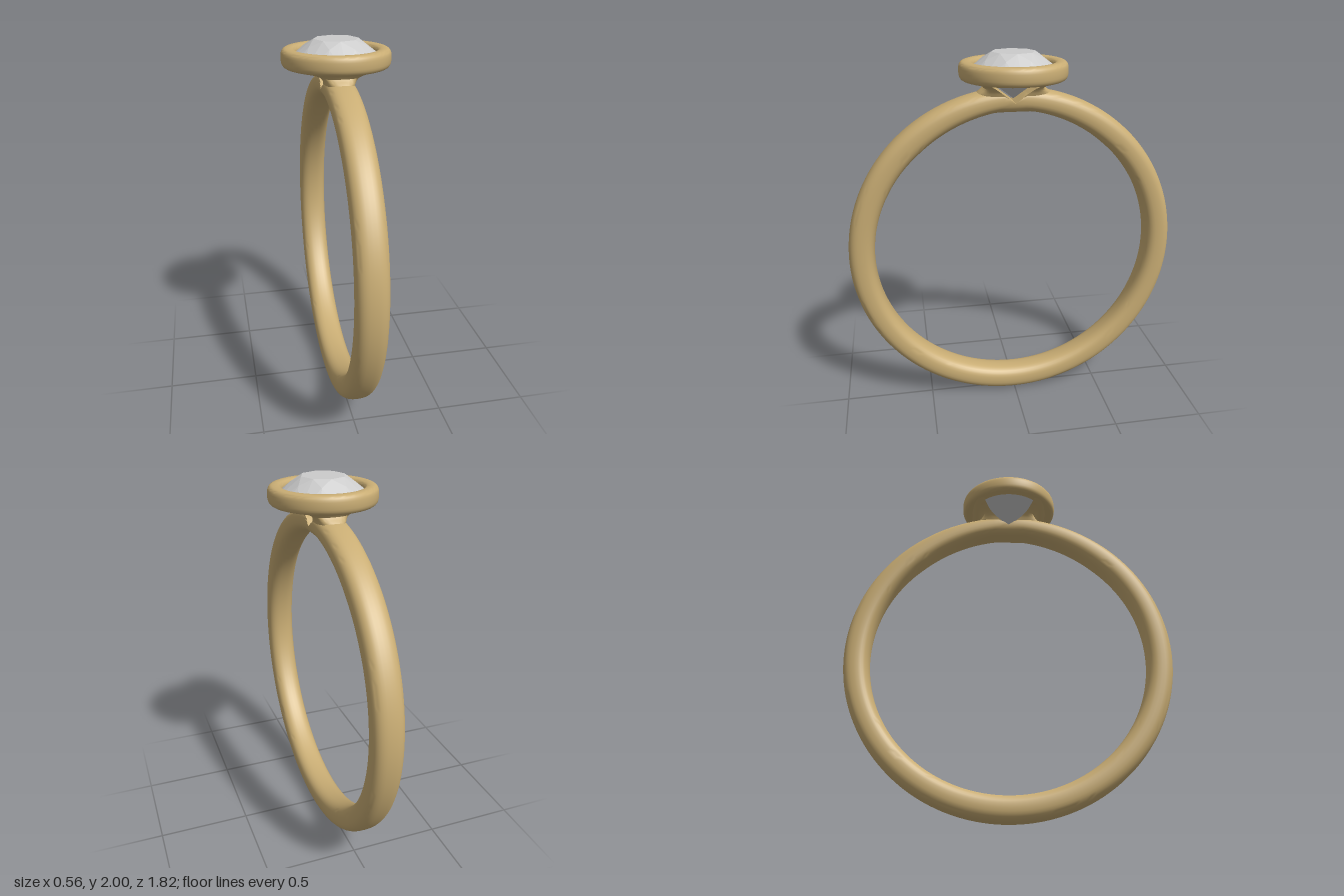
import * as THREE from 'three';
import { toCreasedNormals } from 'three/addons/utils/BufferGeometryUtils.js';
import { ConvexGeometry } from 'three/addons/geometries/ConvexGeometry.js';

const TAU = Math.PI * 2;

// Skin a list of equal-length closed cross-sections; optionally join last to first
function loft(rings, closed) {
  const n = rings[0].length;
  const count = closed ? rings.length : rings.length - 1;
  const index = [];
  for (let i = 0; i < count; i++) {
    const a = i * n, b = ((i + 1) % rings.length) * n;
    for (let j = 0; j < n; j++) {
      const k = (j + 1) % n;
      index.push(a + j, a + k, b + j, a + k, b + k, b + j);
    }
  }
  const geo = new THREE.BufferGeometry();
  geo.setAttribute('position', new THREE.Float32BufferAttribute(rings.flat(2), 3));
  geo.setIndex(index);
  return toCreasedNormals(geo, 0.7);
}

// Rounded-square-like section: point at angle a of a superellipse
const bulge = (v, p) => Math.sign(v) * Math.abs(v) ** (2 / p);
const rounded = (a, hw, hh, p) => [hw * bulge(Math.cos(a), p), hh * bulge(Math.sin(a), p)];

// V-shaped seat cut under the stone
const SEAT_Y = 1.748, SEAT_SLOPE = 0.76;

function bandGeometry() {
  const rings = [];
  const segs = 180, sides = 32;
  for (let i = 0; i < segs; i++) {
    const t = (i / segs) * TAU;
    const ring = [];
    for (let j = 0; j < sides; j++) {
      const [x, dr] = rounded((j / sides) * TAU, 0.08, 0.07, 2.6);
      const r = 0.84 + dr;
      const z = r * Math.sin(t);
      let y = 0.91 + r * Math.cos(t);
      if (Math.cos(t) > 0 && Math.abs(z) < 0.5) {
        // thin the inside toward a small flat below the stone, then cut the seat
        const inner = (0.07 - dr) / 0.14;
        y += 0.026 * inner * (1 - Math.abs(z) / 0.5);
        if (inner > 0.5) y = Math.min(y, 1.695 + (1 - inner) * 0.14);
        y = Math.min(y, SEAT_Y + SEAT_SLOPE * Math.abs(z));
      }
      ring.push([x, y, z]);
    }
    rings.push(ring);
  }
  return loft(rings, true);
}

function bezelGeometry() {
  const rings = [];
  for (let i = 0; i < 96; i++) {
    const t = (i / 96) * TAU;
    const ring = [];
    for (let j = 0; j < 28; j++) {
      const [dr, dy] = rounded((j / 28) * TAU, 0.0385, 0.048, 2.9);
      const r = 0.2425 + dr;
      ring.push([r * Math.cos(t), 1.908 + dy, r * Math.sin(t)]);
    }
    rings.push(ring);
  }
  return loft(rings, true);
}

// Flared shoulder: height, half width in x, outer reach in z
function shoulderGeometry() {
  const levels = [
    [1.765, 0.070, 0.20], [1.785, 0.076, 0.20], [1.80, 0.081, 0.190], [1.812, 0.087, 0.172],
    [1.825, 0.098, 0.160], [1.838, 0.120, 0.168], [1.850, 0.152, 0.190], [1.860, 0.190, 0.218], [1.872, 0.20, 0.23],
  ];
  const rings = levels.map(([y, w, reach]) => {
    const zIn = (y - SEAT_Y) / SEAT_SLOPE;
    const ring = [];
    for (let j = 0; j <= 24; j++) {
      const [x, z] = rounded(Math.PI * (1 - j / 24), w, reach - zIn, 2.5);
      ring.push([x, y, zIn + z]);
    }
    for (let j = 1; j < 8; j++) ring.push([w * (1 - j / 4), y, zIn]);
    return ring;
  });
  // close both ends
  const cap = ([y, , reach]) => rings[0].map(() => [0, y, (reach + (y - SEAT_Y) / SEAT_SLOPE) / 2]);
  return loft([cap(levels[0]), ...rings, cap(levels[levels.length - 1])], false);
}

// Brilliant-cut stone as the hull of its facet corners
function gemGeometry() {
  const pts = [new THREE.Vector3(0, 1.762, 0)];
  const circle = (n, r, y, turn) => {
    for (let i = 0; i < n; i++) {
      const a = ((i + turn) / n) * TAU;
      pts.push(new THREE.Vector3(r * Math.cos(a), y, r * Math.sin(a)));
    }
  };
  circle(8, 0.115, 2.0, 0);
  circle(8, 0.163, 1.968, 0.5);
  circle(32, 0.207, 1.930, 0);
  circle(32, 0.207, 1.919, 0);
  circle(8, 0.07, 1.814, 0.5);
  return new ConvexGeometry(pts);
}

export function createModel() {
  const group = new THREE.Group();
  const gold = new THREE.MeshStandardMaterial({ color: 0xc9ad74 });
  const stone = new THREE.MeshStandardMaterial({ color: 0xcccccc, flatShading: true });
  const add = (name, geo, mat) => {
    const mesh = new THREE.Mesh(geo, mat);
    mesh.name = name;
    group.add(mesh);
    return mesh;
  };

  add('band', bandGeometry(), gold);
  add('bezel', bezelGeometry(), gold);
  const shoulder = shoulderGeometry();
  add('frontShoulder', shoulder, gold);
  add('backShoulder', shoulder, gold).rotation.y = Math.PI;
  add('gemstone', gemGeometry(), stone);
  return group;
}
